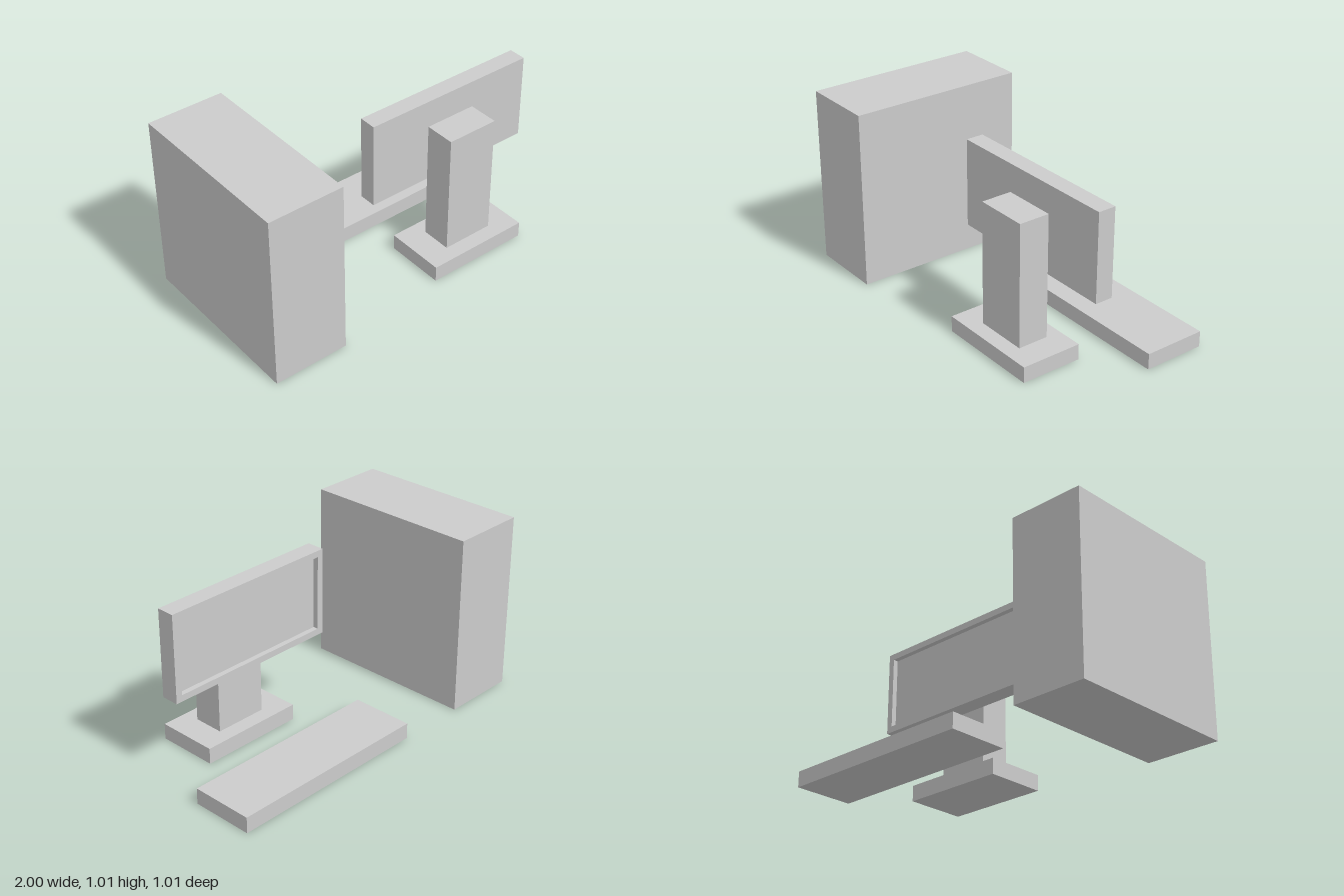
import * as THREE from 'three';

const material = new THREE.MeshStandardMaterial({ color: 0xcccccc, flatShading: true });

// Box given by its extents along each axis
function block(name, [x0, x1], [y0, y1], [z0, z1]) {
  const mesh = new THREE.Mesh(new THREE.BoxGeometry(x1 - x0, y1 - y0, z1 - z0), material);
  mesh.position.set((x0 + x1) / 2, (y0 + y1) / 2, (z0 + z1) / 2);
  mesh.name = name;
  return mesh;
}

// Rectangular outline, used for the bezel and its opening
function rectangle(Type, w, h) {
  const x = w / 2, y = h / 2;
  return new Type([[-x, -y], [x, -y], [x, y], [-x, y]].map(p => new THREE.Vector2(...p)));
}

// Monitor: solid housing with a raised bezel round the recessed screen, facing -z
function createMonitor() {
  const x = [-0.103, 0.93], y = [0.455, 0.947], zFront = 0.05, zBack = 0.15;
  const border = 0.036, recess = 0.03;
  const w = x[1] - x[0], h = y[1] - y[0];

  const outline = rectangle(THREE.Shape, w, h);
  outline.holes.push(rectangle(THREE.Path, w - 2 * border, h - 2 * border));
  const bezel = new THREE.Mesh(
    new THREE.ExtrudeGeometry(outline, { depth: recess, bevelEnabled: false }), material);
  bezel.position.set((x[0] + x[1]) / 2, (y[0] + y[1]) / 2, zFront);
  bezel.name = 'screenBezel';

  const monitor = new THREE.Group();
  monitor.name = 'monitor';
  monitor.add(bezel, block('screenHousing', x, y, [zFront + recess, zBack]));
  return monitor;
}

export function createModel() {
  const model = new THREE.Group();
  model.name = 'desktopComputer';
  model.add(
    block('computerTower', [-1, -0.57], [0, 1.01], [-0.505, 0.505]),
    block('keyboard', [-0.17, 1], [0, 0.09], [-0.505, -0.152]),
    block('standBase', [0.11, 0.717], [0, 0.09], [0.065, 0.415]),
    block('standColumn', [0.263, 0.566], [0.09, 0.79], [0.15, 0.326]),
    createMonitor()
  );
  return model;
}
